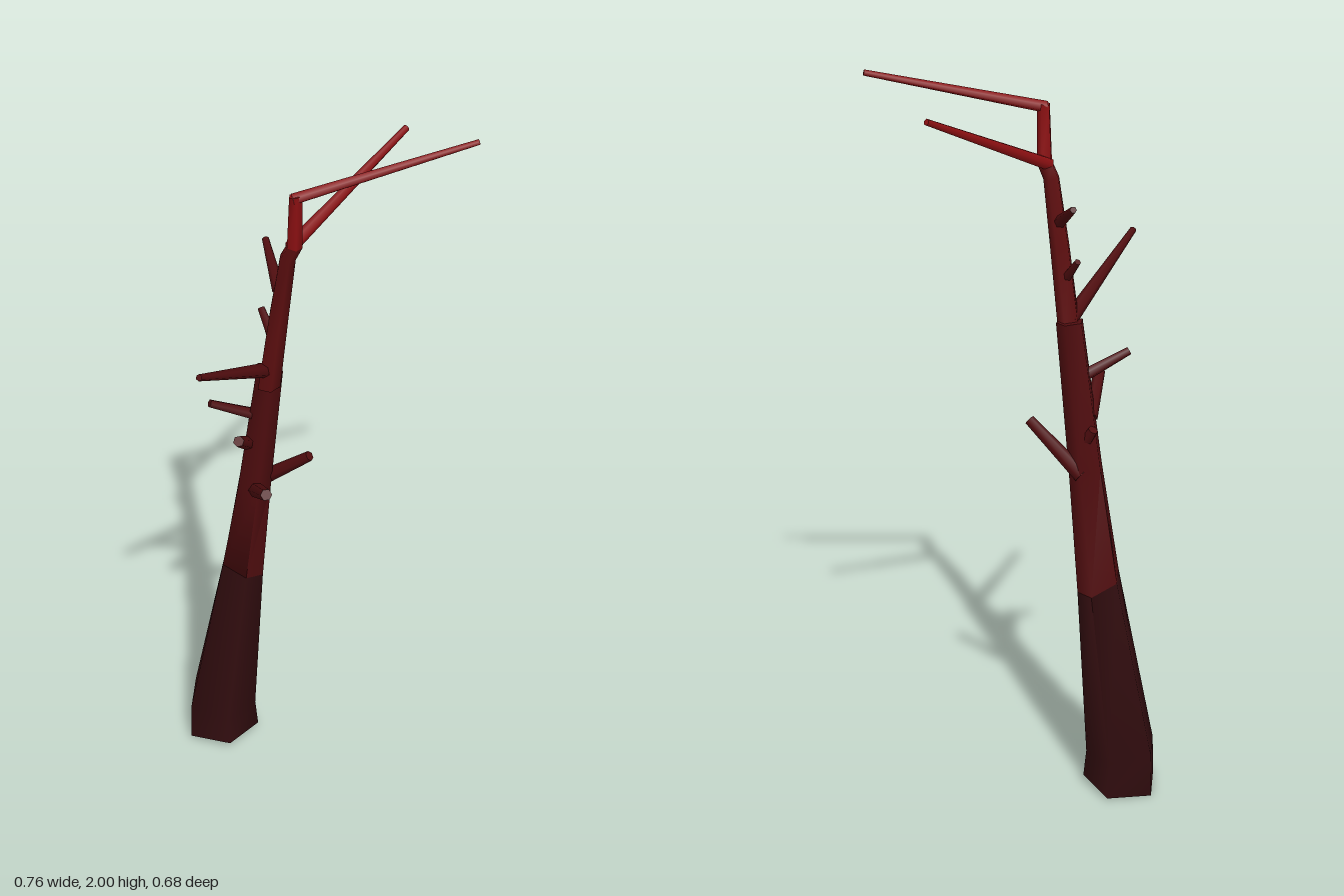
import * as THREE from 'three';
import { toCreasedNormals } from 'three/addons/utils/BufferGeometryUtils.js';

const SIDES = 5;
const mat = (name, color) => {
  const m = new THREE.MeshStandardMaterial({ color });
  m.name = name;
  return m;
};

// Closed tube through rings [x, y, z, radius, slopeX, slopeZ], one corner facing back
function loft(rings) {
  const pos = [], idx = [];
  for (const [x, y, z, r, sx = 0, sz = 0] of rings) {
    for (let i = 0; i < SIDES; i++) {
      const a = (i / SIDES) * Math.PI * 2;
      const dx = r * Math.sin(a), dz = -r * Math.cos(a);
      pos.push(x + dx, y + sx * dx + sz * dz, z + dz);
    }
  }
  for (let k = 0; k < rings.length - 1; k++) {
    for (let i = 0; i < SIDES; i++) {
      const j = (i + 1) % SIDES;
      const a = k * SIDES + i, b = k * SIDES + j, c = a + SIDES, d = b + SIDES;
      idx.push(a, c, b, b, c, d);
    }
  }
  const last = (rings.length - 1) * SIDES;
  for (let i = 1; i < SIDES - 1; i++) {
    idx.push(0, i, i + 1, last, last + i + 1, last + i);
  }
  const g = new THREE.BufferGeometry();
  g.setAttribute('position', new THREE.Float32BufferAttribute(pos, 3));
  g.setIndex(idx);
  return toCreasedNormals(g, 1.3);
}

// Tapered limb between two points
function limb(from, to, r0, r1) {
  const a = new THREE.Vector3(...from), b = new THREE.Vector3(...to);
  const dir = b.clone().sub(a);
  const g = new THREE.CylinderGeometry(r1, r0, dir.length(), 6);
  g.applyQuaternion(new THREE.Quaternion().setFromUnitVectors(new THREE.Vector3(0, 1, 0), dir.normalize()));
  g.translate(...a.add(b).multiplyScalar(0.5).toArray());
  return g;
}

export function createModel() {
  const tree = new THREE.Group();
  tree.name = 'bareTree';
  const darkBark = mat('dark bark', 0x300c0e);
  const redBark = mat('red bark', 0x500d0f);
  const branchBark = mat('branch bark', 0x5e0f10);
  const brightBark = mat('bright bark', 0x8c1012);
  const add = (name, geometry, material) => {
    const m = new THREE.Mesh(geometry, material);
    m.name = name;
    tree.add(m);
  };

  // Trunk sections, leaning to +x
  const joint = [-0.217, 0.61, -0.037, 0.06, -0.4, 0.3];
  const knee = [-0.02, 1.74, 0.043, 0.021, -0.15, 0];
  add('trunkBase', loft([
    [-0.28, 0.014, -0.017, 0.106, 0.1, 0.06],
    [-0.283, 0.115, -0.02, 0.1, -0.15, 0],
    joint,
  ]), darkBark);
  add('trunkMiddle', loft([
    joint,
    [-0.167, 0.93, -0.015, 0.048, -0.15, 0],
    [-0.109, 1.327, 0.006, 0.038, -0.1, 0],
  ]), redBark);
  add('trunkUpper', loft([
    [-0.107, 1.28, 0.014, 0.032],
    [-0.07, 1.52, 0.03, 0.027, -0.15, 0],
    [-0.04, 1.7, 0.041, 0.022, -0.15, 0],
    knee,
  ]), branchBark);
  add('trunkTip', loft([
    knee,
    [-0.012, 1.893, 0.053, 0.018, 0.2, 0],
  ]), brightBark);

  // Long limbs near the top
  add('topBranch', limb([-0.018, 1.883, 0.056], [0.374, 1.992, -0.204], 0.016, 0.008), brightBark);
  add('lowerTopBranch', limb([-0.03, 1.735, 0.045], [0.135, 1.918, -0.338], 0.018, 0.009), brightBark);

  // Side branches and broken stubs: start, end, radii
  const sideBranches = [
    [[-0.105, 1.33, 0.01], [-0.155, 1.495, 0.338], 0.021, 0.009],
    [[-0.07, 1.59, 0.025], [-0.155, 1.662, -0.09], 0.017, 0.009],
    [[-0.09, 1.44, 0.02], [-0.137, 1.5, -0.014], 0.014, 0.009],
    [[-0.13, 1.17, 0.0], [-0.243, 1.238, 0.09], 0.018, 0.011],
    [[-0.17, 1.07, 0.0], [-0.148, 1.16, 0.12], 0.02, 0.015],
    [[-0.155, 0.92, 0.0], [-0.05, 1.045, 0.168], 0.022, 0.016],
    [[-0.165, 0.92, -0.045], [-0.008, 1.05, -0.032], 0.022, 0.014],
    [[-0.15, 0.98, -0.02], [-0.193, 1.05, -0.035], 0.02, 0.014],
  ];
  sideBranches.forEach((b, i) => add('sideBranch' + (i + 1), limb(...b), redBark));
  return tree;
}
